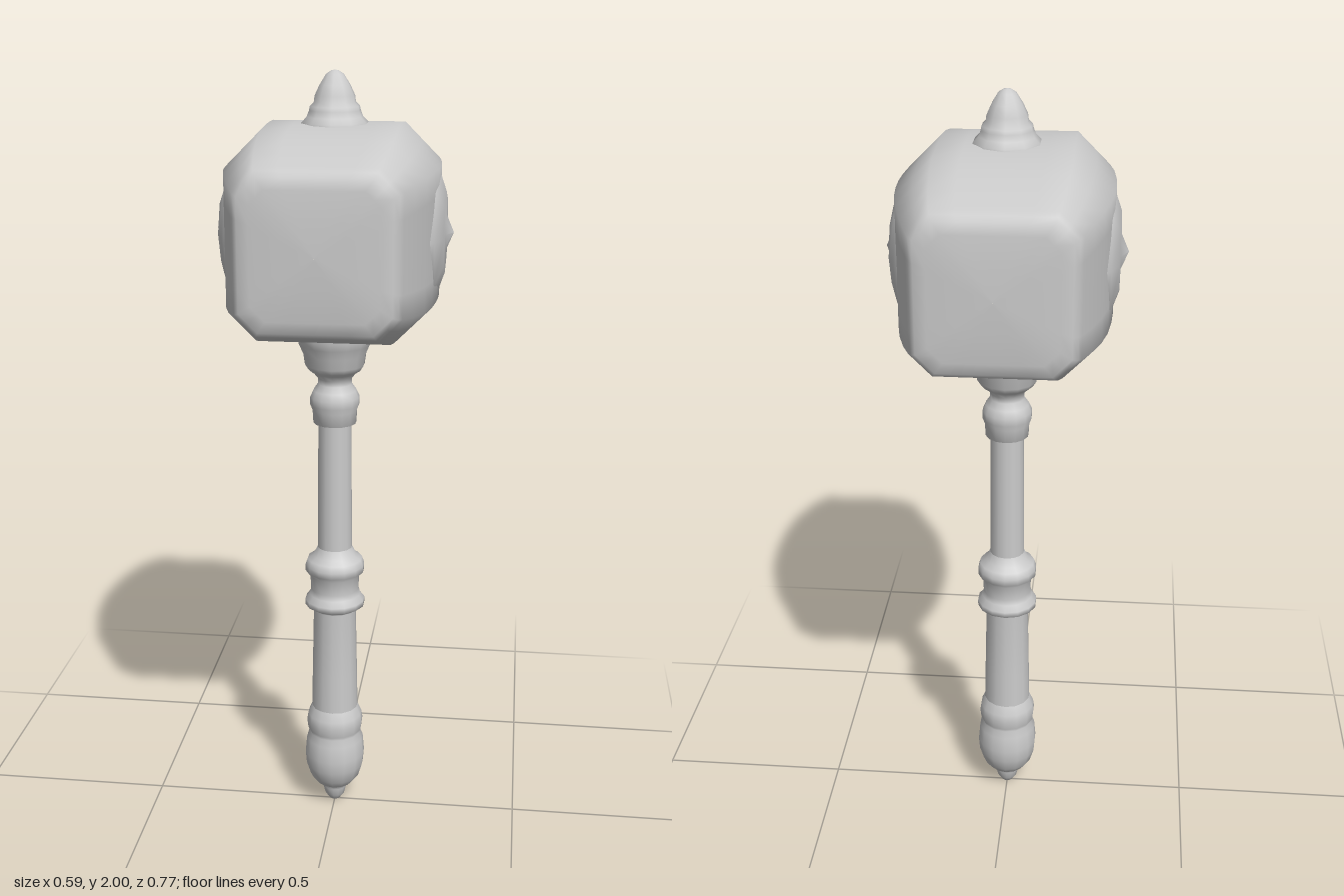
import * as THREE from 'three';

const material = new THREE.MeshStandardMaterial({ color: 0xcccccc });
const HEAD_Y = 1.615;

function add(group, name, geometry) {
  const mesh = new THREE.Mesh(geometry, material);
  mesh.name = name;
  group.add(mesh);
  return mesh;
}

function lathe(points, sides) {
  return new THREE.LatheGeometry(points.map(([r, y]) => new THREE.Vector2(r, y)), sides);
}

// Square section of half size h with cut corners c, counter-clockwise
function section(h, c) {
  const k = h - c, d = h - c * 0.5;
  const side = [[h, -k], [h, -k * 0.6], [h, 0], [h, k * 0.6], [h, k], [d, d]];
  const points = [];
  for (let q = 0; q < 4; q++) {
    for (const [x, y] of side) {
      points.push([[x, y], [-y, x], [-x, -y], [y, -x]][q]);
    }
  }
  return points;
}

// Barrel-shaped block lofted along z, mirrored front to back
function headGeometry() {
  const half = [ // z, half size, corner cut
    [0, 0.261, 0.1], [0.06, 0.259, 0.098], [0.13, 0.252, 0.09], [0.2, 0.239, 0.08],
    [0.28, 0.218, 0.066], [0.34, 0.198, 0.054], [0.358, 0.19, 0.05],
    [0.371, 0.178, 0.044], [0.376, 0.15, 0.035], [0.381, 0.08, 0.02], [0.383, 0.0005, 0.0001],
  ];
  const rings = [...half.slice(1).reverse().map(([z, h, c]) => [-z, h, c]), ...half];
  const positions = [], index = [];
  rings.forEach(([z, h, c]) => section(h, c).forEach(([x, y]) => positions.push(x, y, z)));
  const n = 24;
  for (let i = 0; i < rings.length - 1; i++) {
    for (let j = 0; j < n; j++) {
      const a = i * n + j, b = i * n + (j + 1) % n;
      index.push(a, b, b + n, a, b + n, a + n);
    }
  }
  const geometry = new THREE.BufferGeometry();
  geometry.setAttribute('position', new THREE.Float32BufferAttribute(positions, 3));
  geometry.setIndex(index);
  geometry.computeVertexNormals();
  return geometry;
}

export function createModel() {
  const model = new THREE.Group();
  model.name = 'warHammer';

  add(model, 'head', headGeometry()).position.y = HEAD_Y;

  // Raised pointed boss on each cheek of the head
  const boss = lathe([[0.17, 0.235], [0.155, 0.256], [0.1, 0.275], [0.045, 0.276], [0, 0.295]], 8);
  for (const s of [1, -1]) {
    const mesh = add(model, s > 0 ? 'leftBoss' : 'rightBoss', boss);
    mesh.rotation.z = -s * Math.PI / 2;
    mesh.position.y = HEAD_Y;
  }

  // Finial above the head
  add(model, 'topFinial', lathe([
    [0.083, 1.86], [0.083, 1.877], [0.07, 1.89], [0.064, 1.905], [0.062, 1.915],
    [0.052, 1.925], [0.05, 1.94], [0.038, 1.965], [0.022, 1.99], [0.01, 1.998], [0, 2],
  ], 10));

  // Pommel with its small tip
  add(model, 'pommel', lathe([
    [0, 0], [0.015, 0.005], [0.027, 0.022], [0.033, 0.045], [0.034, 0.055], [0.05, 0.062],
    [0.068, 0.085], [0.079, 0.12], [0.082, 0.155], [0.078, 0.2], [0.07, 0.22],
    [0.074, 0.23], [0.077, 0.255], [0.074, 0.275], [0.063, 0.3],
  ], 14));

  // Grip, finished by two rings
  add(model, 'grip', lathe([
    [0.063, 0.3], [0.061, 0.4], [0.057, 0.59], [0.066, 0.597], [0.08, 0.605], [0.08, 0.62],
    [0.068, 0.635], [0.064, 0.65], [0.066, 0.69], [0.079, 0.703], [0.079, 0.72],
    [0.073, 0.737], [0.057, 0.747], [0.046, 0.77],
  ], 14));

  // Slim shaft
  add(model, 'shaft', lathe([[0.046, 0.765], [0.043, 1.12]], 14));

  // Ringed neck and socket under the head
  add(model, 'neck', lathe([
    [0.043, 1.113], [0.056, 1.116], [0.058, 1.15], [0.064, 1.165], [0.064, 1.185],
    [0.056, 1.203], [0.044, 1.22], [0.044, 1.235], [0.056, 1.25], [0.068, 1.258],
    [0.077, 1.272], [0.081, 1.3], [0.092, 1.325], [0.098, 1.345], [0.1, 1.38],
  ], 14));

  return model;
}
